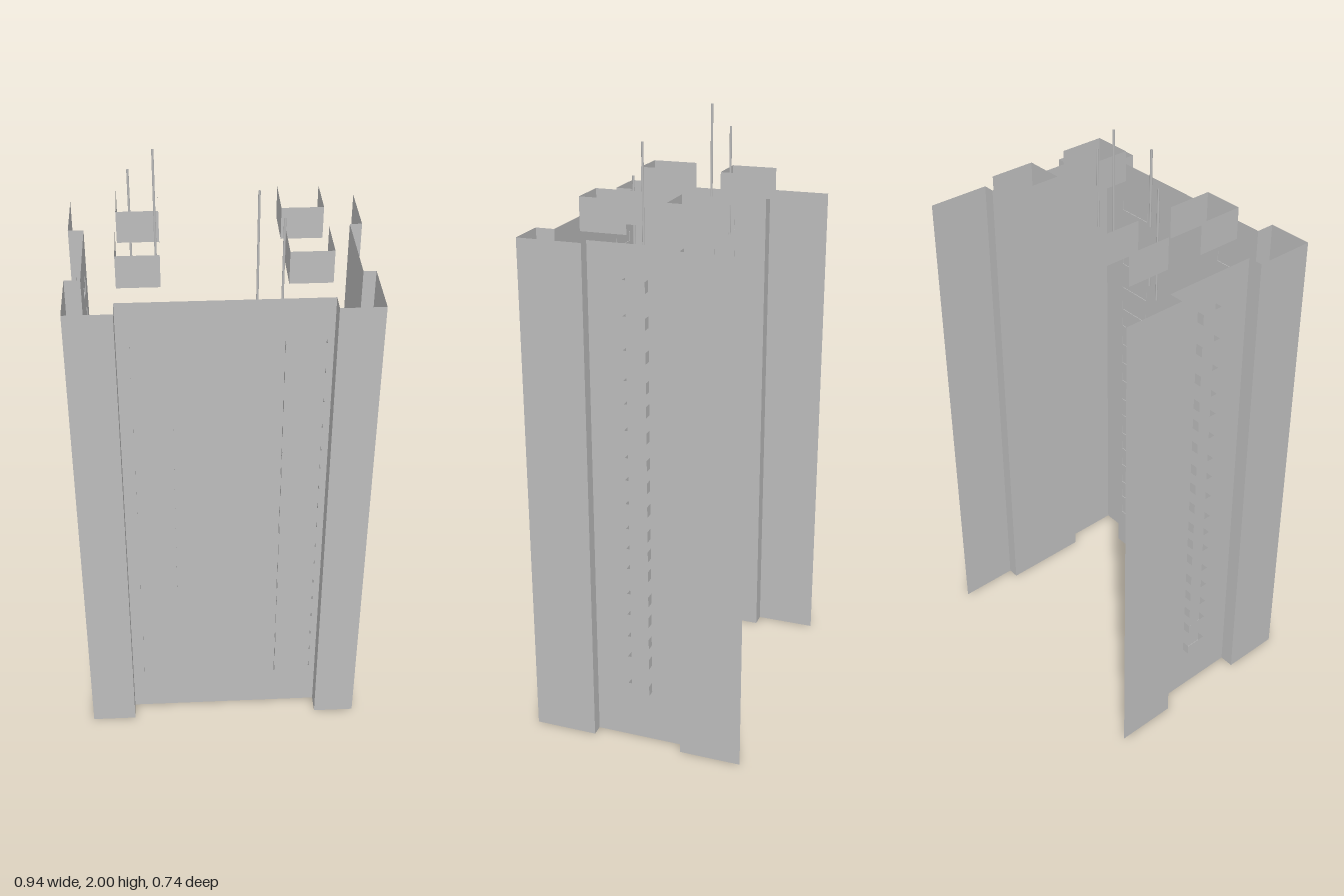
import * as THREE from 'three';
import { mergeGeometries } from 'three/addons/utils/BufferGeometryUtils.js';

const concrete = new THREE.MeshStandardMaterial({ color: 0xbcbcbc, side: THREE.DoubleSide });
concrete.name = 'concrete grey';

// Upright flat panel between two plan points [x, z]; it faces right of travel
function panel([x0, z0], [x1, z1], y0, y1) {
  const g = new THREE.PlaneGeometry(Math.hypot(x1 - x0, z1 - z0), y1 - y0);
  g.rotateY(Math.atan2(-(z1 - z0), x1 - x0));
  return g.translate((x0 + x1) / 2, (y0 + y1) / 2, (z0 + z1) / 2);
}

// Open run of panels along a plan outline
function ribbon(points, y0, y1) {
  return mergeGeometries(points.slice(1).map((p, i) => panel(points[i], p, y0, y1)));
}

// Open-topped balcony: front, two ends and a floor, attached at z = 0
function balcony(width, depth, height) {
  const w = width / 2, h = height / 2;
  const sides = ribbon([[-w, 0], [-w, depth], [w, depth], [w, 0]], -h, h);
  const floor = new THREE.PlaneGeometry(width, depth).rotateX(Math.PI / 2).translate(0, -h, depth / 2);
  return mergeGeometries([sides, floor]);
}

export function createModel() {
  const model = new THREE.Group();
  model.name = 'towerBlock';
  const tower = new THREE.Group();
  tower.name = 'tower';
  tower.rotation.y = -0.026;
  model.add(tower);

  const add = (name, geometry, x = 0, y = 0, z = 0, turn = 0) => {
    const mesh = new THREE.Mesh(geometry, concrete);
    mesh.name = name;
    mesh.position.set(x, y, z);
    mesh.rotation.y = turn;
    tower.add(mesh);
  };

  // Stepped shell with an open back and no roof
  const H = 1.68;
  add('facade', ribbon([
    [-0.462, -0.357], [-0.462, -0.153], [-0.413, -0.153], [-0.413, 0.16],
    [-0.462, 0.16], [-0.462, 0.358], [-0.315, 0.358], [-0.315, 0.297],
    [0.327, 0.297], [0.327, 0.358], [0.463, 0.358], [0.463, 0.15],
    [0.424, 0.15], [0.424, -0.152], [0.463, -0.152], [0.463, -0.357],
  ], 0, H));

  // Two columns of balconies on the front
  const frontRows = [0.18, 0.26, 0.335, 0.42, 0.5, 0.575, 0.66, 0.735, 0.82, 0.9,
    0.98, 1.06, 1.13, 1.22, 1.315, 1.42, 1.525];
  const frontBalcony = balcony(0.122, 0.027, 0.034);
  for (const y of frontRows)
    for (const x of [-0.214, 0.243]) add('frontBalcony', frontBalcony, x, y, 0.295);

  // One column of balconies on each side
  const sideRows = [0.2, 0.3, 0.375, 0.455, 0.53, 0.62, 0.69, 0.76, 0.845, 0.925,
    1.0, 1.09, 1.175, 1.25, 1.345, 1.45, 1.56];
  const sideBalcony = balcony(0.072, 0.027, 0.036);
  for (const y of sideRows) {
    add('leftBalcony', sideBalcony, 0.424, y, -0.006, Math.PI / 2);
    add('rightBalcony', sideBalcony, -0.411, y, -0.006, -Math.PI / 2);
  }

  // Rooftop housings, open at the back
  const w = 0.065, d = 0.075;
  const housing = ribbon([[-w, -d], [-w, d], [w, d], [w, -d]], H, 1.785);
  for (const x of [-0.243, 0.262])
    for (const z of [-0.14, 0.138]) add('roofHousing', housing, x, 0, z);

  // Antennas: x, z, top
  const base = 1.56;
  for (const [x, z, top] of [
    [-0.266, -0.07, 1.92], [-0.19, -0.03, 2.0], [0.115, 0.092, 1.92], [0.192, 0.092, 1.83],
  ]) {
    const mast = new THREE.CylinderGeometry(0.004, 0.004, top - base, 6, 1, true);
    add('antenna', mast, x, (top + base) / 2, z);
  }
  return model;
}
